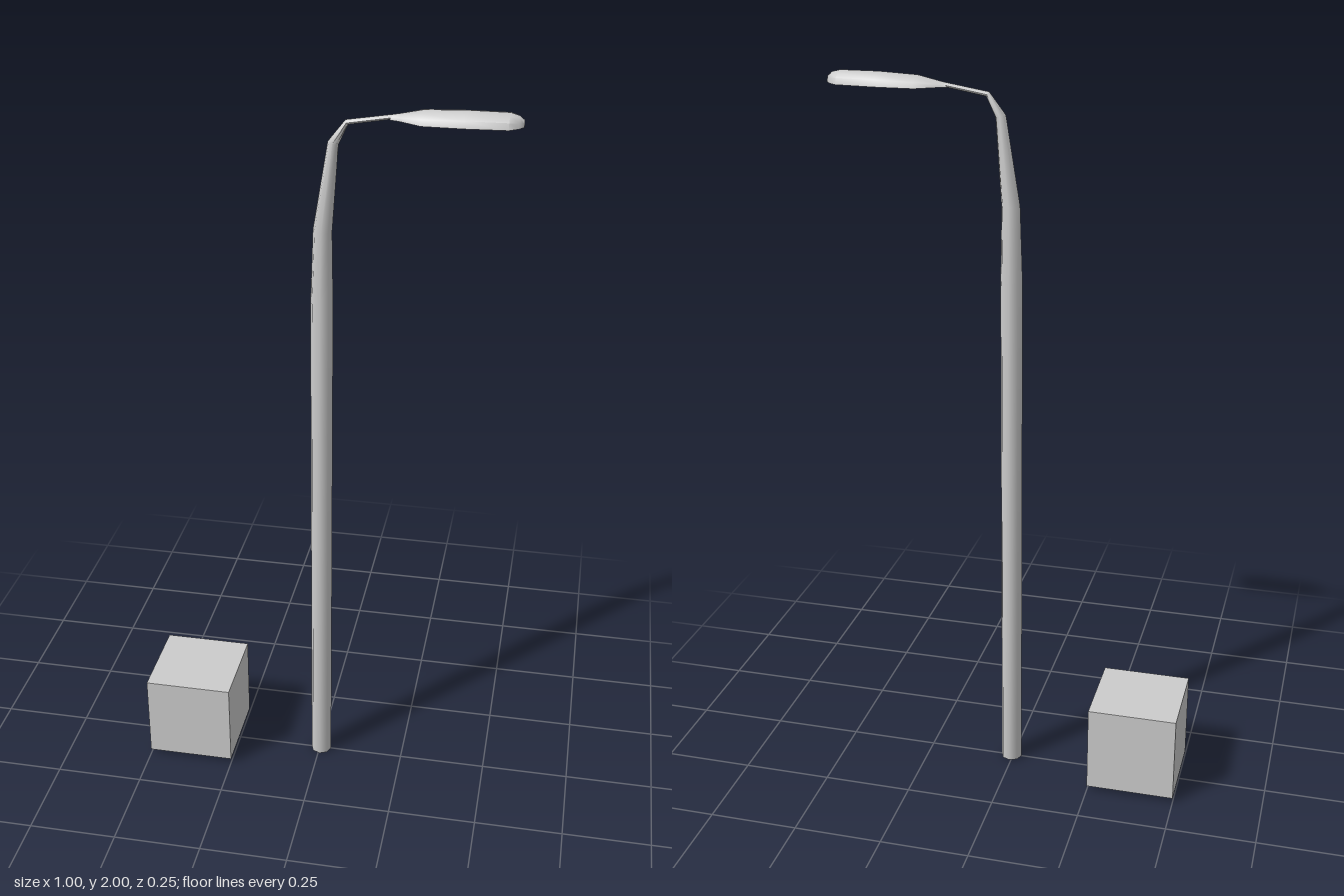
import * as THREE from 'three';
import { toCreasedNormals } from 'three/addons/utils/BufferGeometryUtils.js';

const material = new THREE.MeshStandardMaterial({ color: 0xcccccc });

// Skin a list of equal-sized rings (counter-clockwise around the path), with both ends capped
function loft(rings, crease) {
  const n = rings[0].length, index = [];
  for (let i = 0; i < rings.length - 1; i++) {
    for (let j = 0; j < n; j++) {
      const a = i * n + j, b = i * n + (j + 1) % n;
      index.push(a, b, b + n, a, b + n, a + n);
    }
  }
  const last = (rings.length - 1) * n;
  for (let j = 1; j < n - 1; j++) {
    index.push(0, j + 1, j, last, last + j, last + j + 1);
  }
  const geometry = new THREE.BufferGeometry();
  geometry.setAttribute('position', new THREE.Float32BufferAttribute(rings.flat(2), 3));
  geometry.setIndex(index);
  return toCreasedNormals(geometry, crease);
}

// Elliptical ring tilted from vertical (0) towards +x (90 degrees)
function poleRing([x, y, z, tilt, a, b]) {
  const t = THREE.MathUtils.degToRad(tilt);
  return Array.from({ length: 8 }, (_, j) => {
    const w = j / 8 * Math.PI * 2, u = a * Math.cos(w);
    return [x + u * Math.cos(t), y - u * Math.sin(t), z - b * Math.sin(w)];
  });
}

// Domed ring with a flat underside
function headRing([x, base, height, z, halfWidth]) {
  return Array.from({ length: 7 }, (_, j) => {
    const w = Math.PI / 2 + j / 6 * Math.PI;
    return [x, base - height * Math.cos(w), z - halfWidth * Math.sin(w)];
  });
}

function addMesh(group, name, geometry) {
  const mesh = new THREE.Mesh(geometry, material);
  mesh.name = name;
  group.add(mesh);
  return mesh;
}

export function createModel() {
  const group = new THREE.Group();
  group.name = 'streetLamp';

  // Tapering pole that bends into a thin arm: x, y, z, tilt, in-plane radius, z radius
  const pole = [
    [0.005, 0, 0, 0, 0.03, 0.03],
    [0.005, 1.47, 0, 0, 0.03, 0.03],
    [0.007, 1.67, 0.001, 5, 0.025, 0.024],
    [0.034, 1.9, 0.004, 14, 0.014, 0.014],
    [0.068, 1.954, 0.005, 60, 0.007, 0.01],
    [0.18, 1.973, 0.006, 85, 0.006, 0.009],
  ];
  addMesh(group, 'poleAndArm', loft(pole.map(poleRing), 0.9));

  // Flat-bottomed lamp head: x, base y, height, centre z, half width
  const head = [
    [0.175, 1.967, 0.011, 0.006, 0.009],
    [0.2, 1.967, 0.016, 0.007, 0.017],
    [0.255, 1.965, 0.03, 0.009, 0.04],
    [0.36, 1.965, 0.035, 0.011, 0.04],
    [0.465, 1.967, 0.033, 0.012, 0.04],
    [0.488, 1.967, 0.027, 0.013, 0.022],
    [0.5, 1.968, 0.016, 0.014, 0.007],
  ];
  addMesh(group, 'lampHead', loft(head.map(headRing), 0.8));

  // Cube beside the pole
  addMesh(group, 'cube', new THREE.BoxGeometry(0.25, 0.25, 0.25)).position.set(-0.375, 0.14, 0);

  return group;
}
